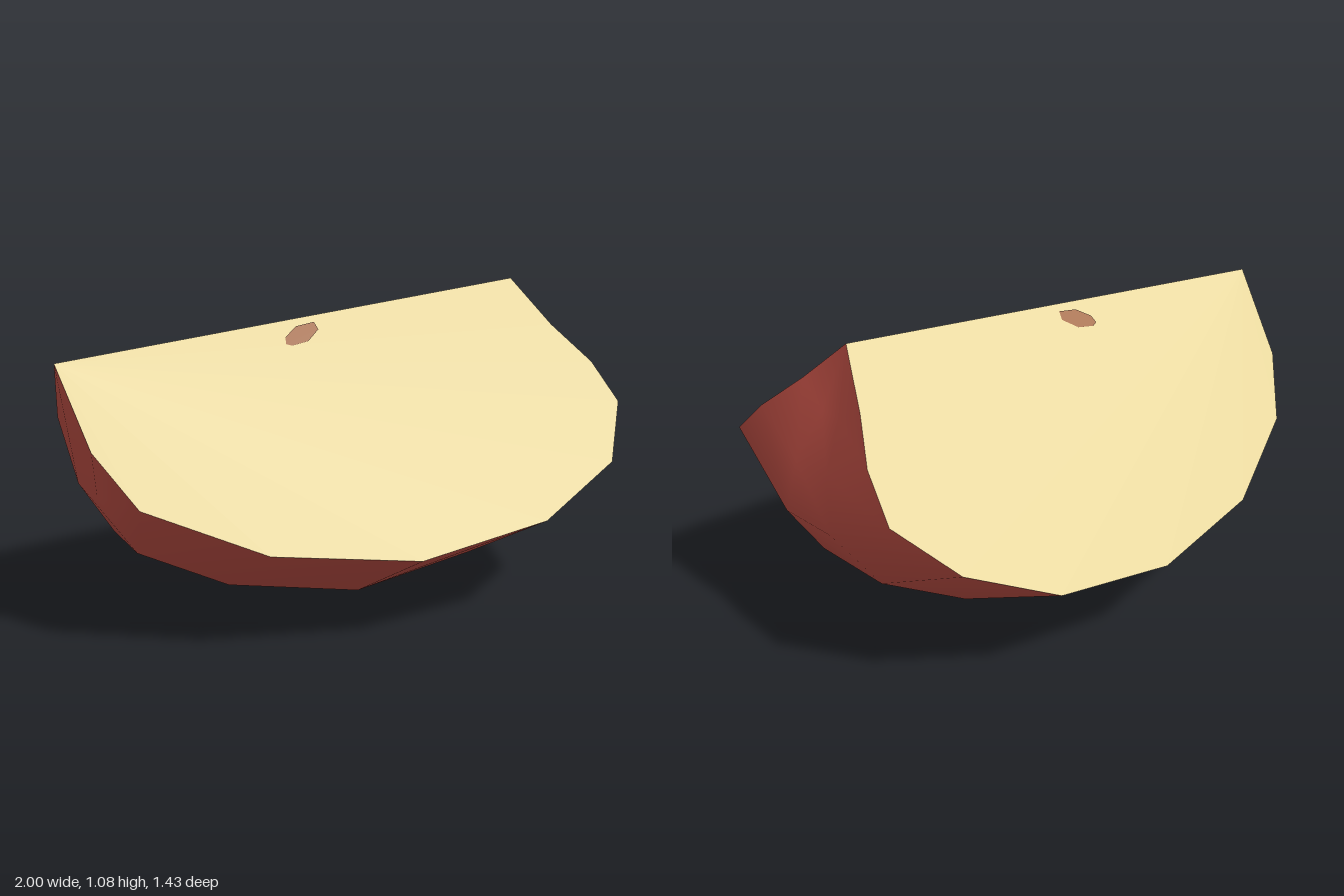
import * as THREE from 'three';
import { mergeVertices } from 'three/addons/utils/BufferGeometryUtils.js';

// The core edge climbs gently from the left tip to the right tip.
const coreY = (x) => 1.01 + 0.0885 * x;
const LEFT_TIP = [-1, coreY(-1), 0];
const RIGHT_TIP = [0.79, 1.08, 0];

// Both cut planes fall away from the core edge at 45 degrees.
const onCut = ([x, z]) => [x, coreY(x) - Math.abs(z), z];

function geometryFrom(points, index) {
  const g = new THREE.BufferGeometry();
  g.setAttribute('position', new THREE.Float32BufferAttribute(points.flat(), 3));
  g.setIndex(index);
  return g;
}

// Flat fan through an outline; flip turns it to face the back.
function fan(points, flip) {
  const index = [];
  for (let i = 1; i < points.length - 1; i++) {
    index.push(0, ...(flip ? [i + 1, i] : [i, i + 1]));
  }
  const g = geometryFrom(points, index);
  g.computeVertexNormals();
  return g;
}

// Smooth surface through rows running from tip to tip, front to back.
function loft(rows) {
  const n = rows[0].length;
  const index = [];
  for (let j = 0; j < rows.length - 1; j++) {
    for (let i = 0; i < n - 1; i++) {
      const a = j * n + i, b = a + 1, c = a + n, d = c + 1;
      if (i > 0) index.push(a, c, b);
      if (i < n - 2) index.push(b, c, d);
    }
  }
  const g = mergeVertices(geometryFrom(rows.flat(), index));
  g.computeVertexNormals();
  return g;
}

export function createModel() {
  const group = new THREE.Group();
  const fleshMat = new THREE.MeshStandardMaterial({ color: 0xe6d599 });
  const skinMat = new THREE.MeshStandardMaterial({ color: 0xb34a40 });
  const seedMat = new THREE.MeshStandardMaterial({ color: 0xa56b44 });
  fleshMat.name = 'flesh';
  skinMat.name = 'skin';
  seedMat.name = 'seed';

  const add = (name, geometry, material) => {
    const mesh = new THREE.Mesh(geometry, material);
    mesh.name = name;
    group.add(mesh);
    return mesh;
  };

  // Rims of the two cut faces, as x and z
  const closed = (row) => [LEFT_TIP, ...row, RIGHT_TIP];
  const frontRim = [[-0.96, 0.25], [-0.86, 0.42], [-0.49, 0.605], [0.01, 0.712], [0.51, 0.697],
    [0.86, 0.59], [0.998, 0.43], [0.965, 0.3], [0.87, 0.165]].map(onCut);
  const backRim = [[-0.93, -0.26], [-0.785, -0.44], [-0.44, -0.62], [0.01, -0.715], [0.455, -0.7],
    [0.76, -0.59], [0.925, -0.44], [0.91, -0.3], [0.85, -0.17]].map(onCut);

  // Two lower rows of the skin, as x and y; their spread follows the depth below the core
  const belly = [[-0.9, 0.47], [-0.78, 0.26], [-0.46, 0.1], [0.04, 0], [0.52, 0.07],
    [0.85, 0.25], [0.997, 0.48], [0.965, 0.68], [0.87, 0.85]];
  const spread = ([x, y]) => 0.19 * (coreY(x) - y) / 1.01;
  const frontBelly = belly.map((p) => [p[0], p[1], spread(p)]);
  const backBelly = belly.map((p, i) => [(p[0] + backRim[i][0]) / 2, p[1], -spread(p)]);

  add('skin', loft([frontRim, frontBelly, backBelly, backRim].map(closed)), skinMat);
  add('frontFlesh', fan(closed(frontRim), false), fleshMat);
  add('backFlesh', fan(closed(backRim), true), fleshMat);

  // Thin seed marks lying just above each cut face
  const seed = [[-0.19, 0.07], [-0.17, 0.078], [-0.105, 0.074], [-0.052, 0.046],
    [-0.058, 0.022], [-0.13, 0.025], [-0.182, 0.05]];
  for (const side of [1, -1]) {
    const outline = seed.map(([x, z]) => onCut([x, z * side]));
    const mark = add(side > 0 ? 'frontSeed' : 'backSeed', fan(outline, side < 0), seedMat);
    mark.position.set(0, 0.003, 0.003 * side);
  }
  return group;
}
